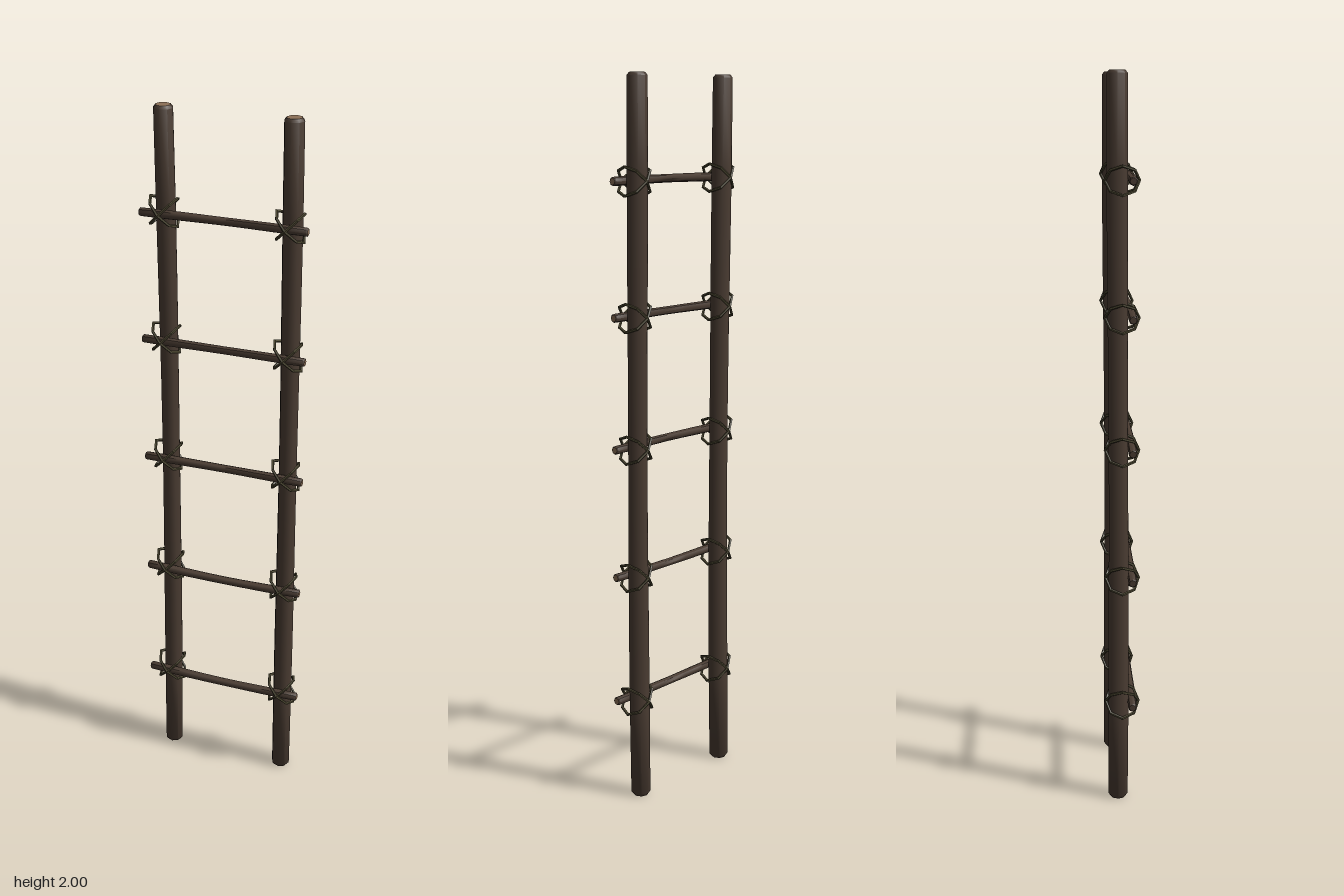
import * as THREE from 'three';
import { toCreasedNormals } from 'three/addons/utils/BufferGeometryUtils.js';

const bark = new THREE.MeshStandardMaterial({ color: 0x4a3c32 });
const cutWood = new THREE.MeshStandardMaterial({ color: 0x8c7057 });
const rope = new THREE.MeshStandardMaterial({ color: 0x4d4832, flatShading: true });

// Bent log standing on y = 0, with bevelled ends and separate cut faces
function makeLog(name, length, radius, bevel, bend) {
  const log = new THREE.Group();
  log.name = name;
  const endRadius = radius * 0.78;
  const profile = [new THREE.Vector2(endRadius, 0)];
  const steps = 8;
  for (let i = 0; i <= steps; i++) {
    const t = i / steps;
    profile.push(new THREE.Vector2(radius * (1 + 0.04 * Math.sin(t * 9)), bevel + t * (length - 2 * bevel)));
  }
  profile.push(new THREE.Vector2(endRadius, length));

  const body = new THREE.LatheGeometry(profile, 8);
  const p = body.attributes.position;
  for (let i = 0; i < p.count; i++) {
    const [dx, dz] = bend(p.getY(i) / length);
    p.setXYZ(i, p.getX(i) + dx, p.getY(i), p.getZ(i) + dz);
  }
  const bodyMesh = new THREE.Mesh(toCreasedNormals(body, 0.85), bark);
  bodyMesh.name = name + 'Bark';
  log.add(bodyMesh);

  for (const t of [0, 1]) {
    const end = new THREE.Mesh(new THREE.CircleGeometry(endRadius, 8), t ? cutWood : bark);
    end.name = name + 'CutEnd';
    end.rotation.x = t ? -Math.PI / 2 : Math.PI / 2;
    const [dx, dz] = bend(t);
    end.position.set(dx, t * length, dz);
    log.add(end);
  }
  return log;
}

// Two crossed rope loops tying a rung to a pole
function makeLashing(x, y) {
  const lashing = new THREE.Group();
  lashing.name = 'lashing';
  for (const side of [-1, 1]) {
    const loop = new THREE.TorusGeometry(0.0455, 0.004, 5, 8);
    loop.rotateY(Math.PI / 2).scale(1, 1.18, 1).rotateZ(side * Math.PI / 4);
    const mesh = new THREE.Mesh(loop, rope);
    mesh.name = 'ropeLoop';
    lashing.add(mesh);
  }
  lashing.position.set(x, y, -0.001);
  return lashing;
}

export function createModel() {
  const ladder = new THREE.Group();
  ladder.name = 'ladder';

  // Side poles, each with its own slight bow
  const rightPole = makeLog('rightPole', 2, 0.027, 0.008, t => [0.007 * Math.sin(Math.PI * t), 0.002 * Math.sin(5 * t)]);
  rightPole.position.set(-0.179, 0, -0.012);
  const leftPole = makeLog('leftPole', 2, 0.027, 0.008, t => [0.003 * t + 0.003 * Math.sin(Math.PI * t), 0.002 * Math.sin(5 * t)]);
  leftPole.position.set(0.173, 0, -0.012);
  ladder.add(rightPole, leftPole);

  // Rungs across the front of the poles, tied at both ends
  for (let i = 0; i < 5; i++) {
    const y = 0.285 + i * 0.359;
    const tilt = [0.003, 0.004, -0.002, -0.001, -0.002][i];
    const rung = makeLog('rung', 0.466, 0.0118, 0.003, t => [tilt * Math.sin(Math.PI * t), 0.0015 * Math.sin(4 * t)]);
    rung.rotation.z = -Math.PI / 2;
    rung.position.set(-0.234, y, 0.026);
    ladder.add(rung, makeLashing(-0.176, y), makeLashing(0.175, y));
  }
  return ladder;
}
